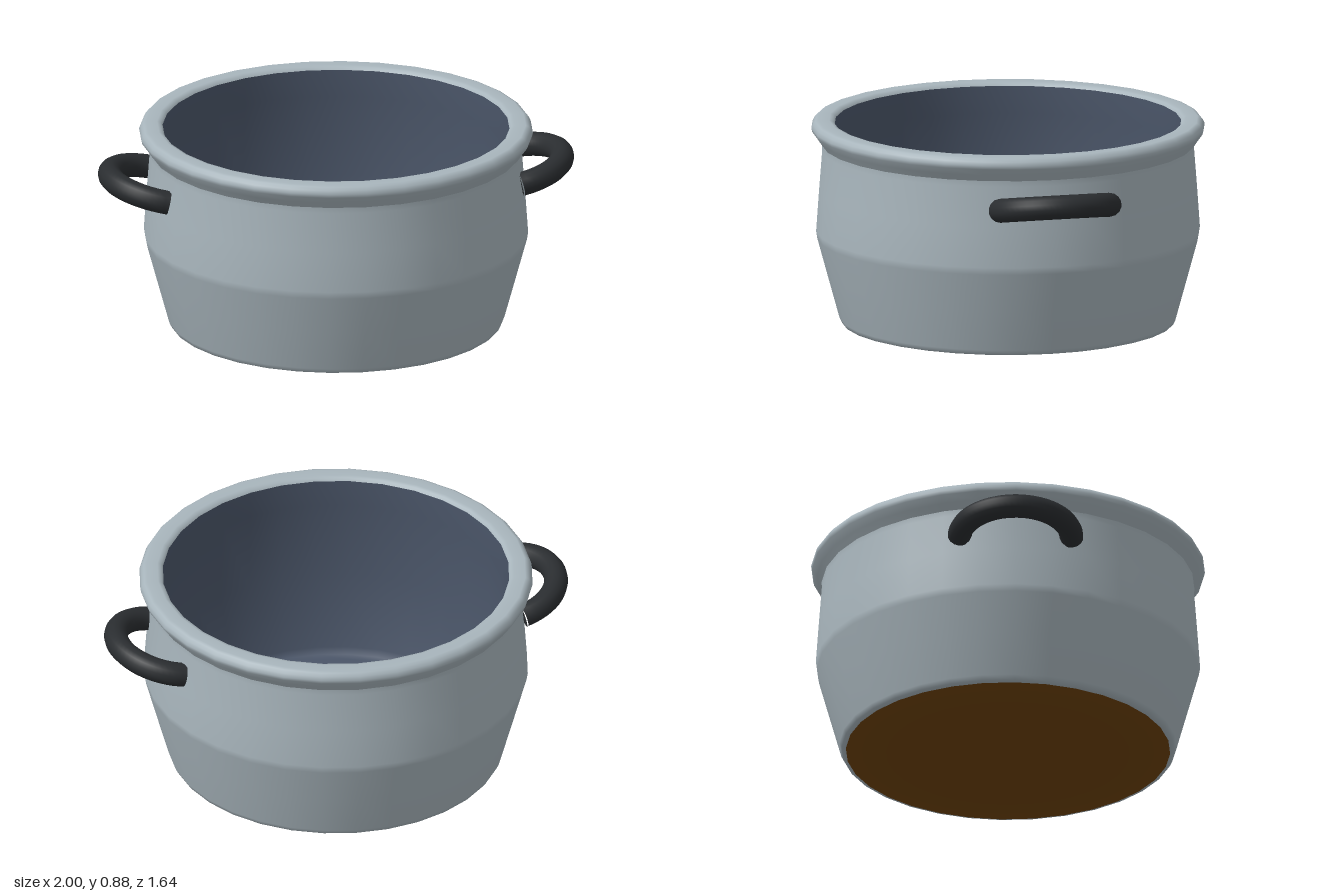
import * as THREE from 'three';

const steel = new THREE.MeshStandardMaterial({ color: 0xa8b5bc });
const lining = new THREE.MeshStandardMaterial({ color: 0x4a5568 });
const copper = new THREE.MeshStandardMaterial({ color: 0x70430a });
const black = new THREE.MeshStandardMaterial({ color: 0x2a2d30 });

// Turned part from a [radius, height] profile
function turned(name, profile, material) {
  const points = profile.map(([r, y]) => new THREE.Vector2(r, y));
  const mesh = new THREE.Mesh(new THREE.LatheGeometry(points, 32), material);
  mesh.name = name;
  return mesh;
}

// Half-loop handle, pointing to +x and tilted slightly upward
function makeHandle(name) {
  const group = new THREE.Group();
  group.name = name;
  const reach = 0.213, halfWidth = 0.233, thickness = 0.05;
  const points = [];
  for (let i = 0; i <= 16; i++) {
    const a = -Math.PI / 2 + (Math.PI * i) / 16;
    points.push(new THREE.Vector3(Math.cos(a) * reach, 0, Math.sin(a) * halfWidth));
  }
  const path = new THREE.CatmullRomCurve3(points);
  const grip = new THREE.Mesh(new THREE.TubeGeometry(path, 32, thickness, 14), black);
  grip.name = 'handleGrip';
  group.add(grip);
  // Flat ends against the wall
  for (const side of [-1, 1]) {
    const cap = new THREE.Mesh(new THREE.CircleGeometry(thickness, 14), black);
    cap.name = 'handleEnd';
    cap.rotation.y = -Math.PI / 2;
    cap.position.set(0, 0, side * halfWidth);
    group.add(cap);
  }
  group.position.set(0.742, 0.65, 0);
  group.rotation.z = 0.22;
  return group;
}

export function createModel() {
  const pot = new THREE.Group();
  pot.name = 'cookingPot';

  // Slightly domed underside
  pot.add(turned('base', [[0, 0], [0.5, 0.003], [0.675, 0.015]], copper));

  // Outer wall
  pot.add(turned('outerWall', [
    [0.675, 0.015], [0.692, 0.02], [0.702, 0.04], [0.75, 0.215], [0.795, 0.38],
    [0.8, 0.41], [0.788, 0.58], [0.775, 0.75], [0.776, 0.775],
  ], steel));

  // Flared rim
  pot.add(turned('rim', [
    [0.776, 0.775], [0.795, 0.803], [0.816, 0.832], [0.82, 0.848], [0.813, 0.863],
    [0.803, 0.875], [0.79, 0.88], [0.745, 0.88], [0.73, 0.876], [0.722, 0.865],
  ], steel));

  // Inner wall and floor
  pot.add(turned('lining', [
    [0.722, 0.865], [0.72, 0.75], [0.735, 0.4], [0.66, 0.09], [0.64, 0.065],
    [0.61, 0.06], [0, 0.06],
  ], lining));

  // Handles on both sides
  const left = new THREE.Group();
  left.name = 'leftHandle';
  left.add(makeHandle('handle'));
  const right = new THREE.Group();
  right.name = 'rightHandle';
  right.add(makeHandle('handle'));
  right.rotation.y = Math.PI;
  pot.add(left, right);

  return pot;
}
